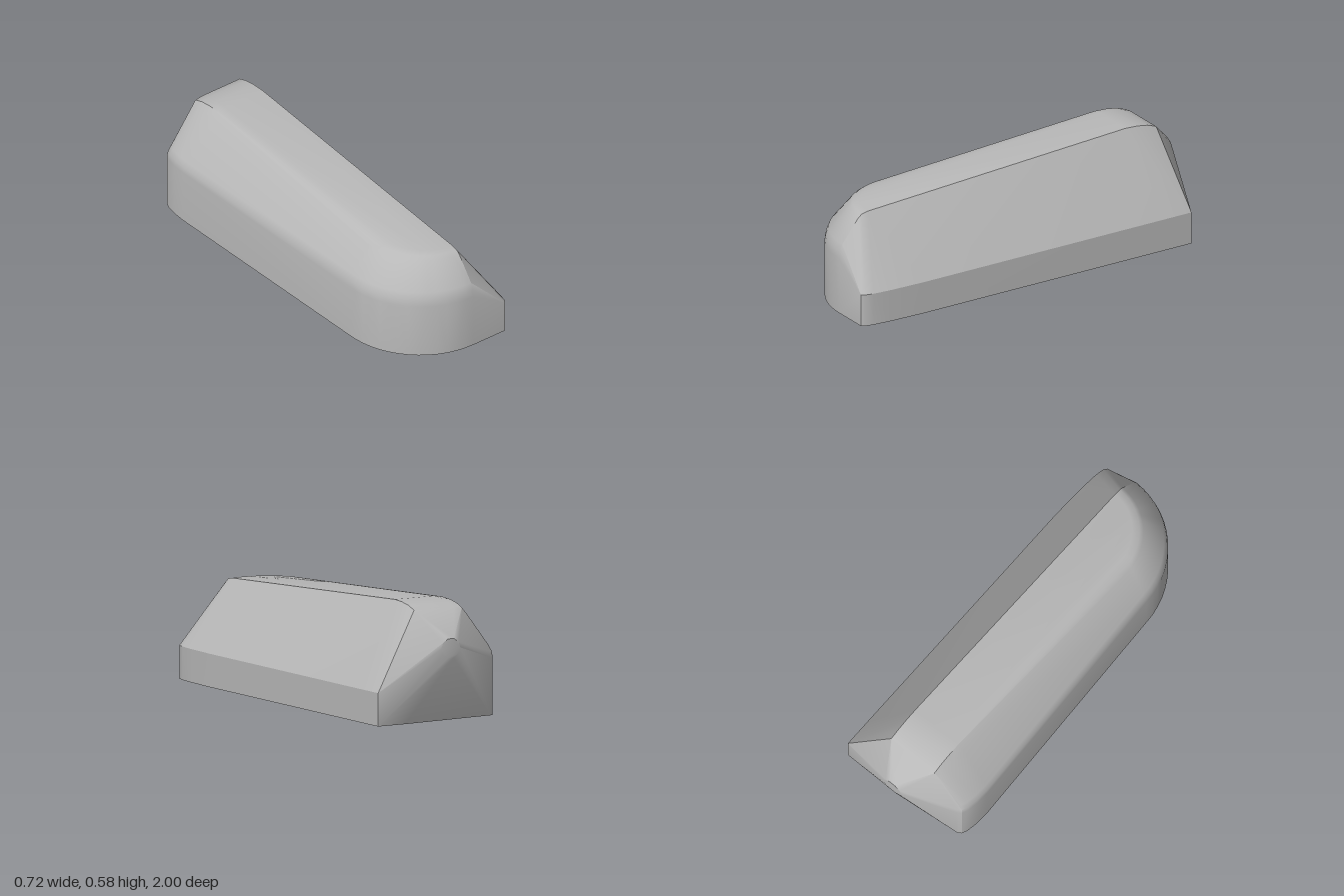
import * as THREE from 'three';
import { ConvexGeometry } from 'three/addons/geometries/ConvexGeometry.js';
import { toCreasedNormals } from 'three/addons/utils/BufferGeometryUtils.js';

export function createModel() {
  const group = new THREE.Group();
  const grey = new THREE.MeshStandardMaterial({ color: 0xb8b8b8 });
  grey.name = 'plain grey';
  const points = [];
  const add = (x, y, z) => points.push(new THREE.Vector3(x, y, z));

  // Rounded front end: stacked quarter ellipses [xRadius, zRadius, y, rise toward the side]
  const rings = [
    [0.43, 0.44, 0, 0],
    [0.43, 0.44, 0.29, 0],
    [0.425, 0.433, 0.325, 0],
    [0.41, 0.42, 0.36, 0],
    [0.305, 0.325, 0.479, 0.008],
    [0.285, 0.305, 0.494, 0.008],
    [0.25, 0.27, 0.501, 0.012],
  ];
  const steps = 14;
  for (const [rx, rz, y, rise] of rings) {
    for (let i = 0; i <= steps; i++) {
      const a = (i / steps) * Math.PI / 2;
      add(0.12 - rx * Math.sin(a), y + rise * Math.sin(a), 0.56 + rz * Math.cos(a));
    }
  }

  // Upright strip below the sloping flank, with a rounded front corner
  for (const y of [0, 0.165]) {
    for (const [x, z] of [[0.315, 1], [0.327, 0.985], [0.337, 0.94], [0.346, 0.84],
      [0.353, 0.66], [0.357, -0.76], [0.357, -0.91]]) add(x, y, z);
  }
  add(0.2, 0, -0.908);

  // Rounded rear corner and its shoulder
  const corner = [[-0.358, -0.7], [-0.355, -0.77], [-0.345, -0.83], [-0.332, -0.86], [-0.315, -0.872]];
  for (const [x, z] of corner) {
    add(x, 0, z);
    add(x, 0.285, z);
    add(x * 0.99, 0.315, z * 0.995);
    add(x * 0.95, 0.345, z * 0.985);
  }

  // Rear edge of the roof, rolling down toward the tail
  for (const [y, z] of [[0.582, -0.68], [0.578, -0.75], [0.568, -0.81], [0.55, -0.86]]) {
    add(0.12, y, z);
    add(-0.11, y, z);
    add(-0.155, y - 0.007, z);
    add(-0.187, y - 0.042, z + 0.005);
  }

  // Blunt tail tip
  for (let i = 0; i < 10; i++) {
    const a = (i / 10) * Math.PI * 2;
    add(-0.005 + 0.055 * Math.cos(a), 0.37 + 0.05 * Math.sin(a), -1);
  }

  const body = new THREE.Mesh(toCreasedNormals(new ConvexGeometry(points), 0.5), grey);
  body.name = 'body';
  group.add(body);
  return group;
}
